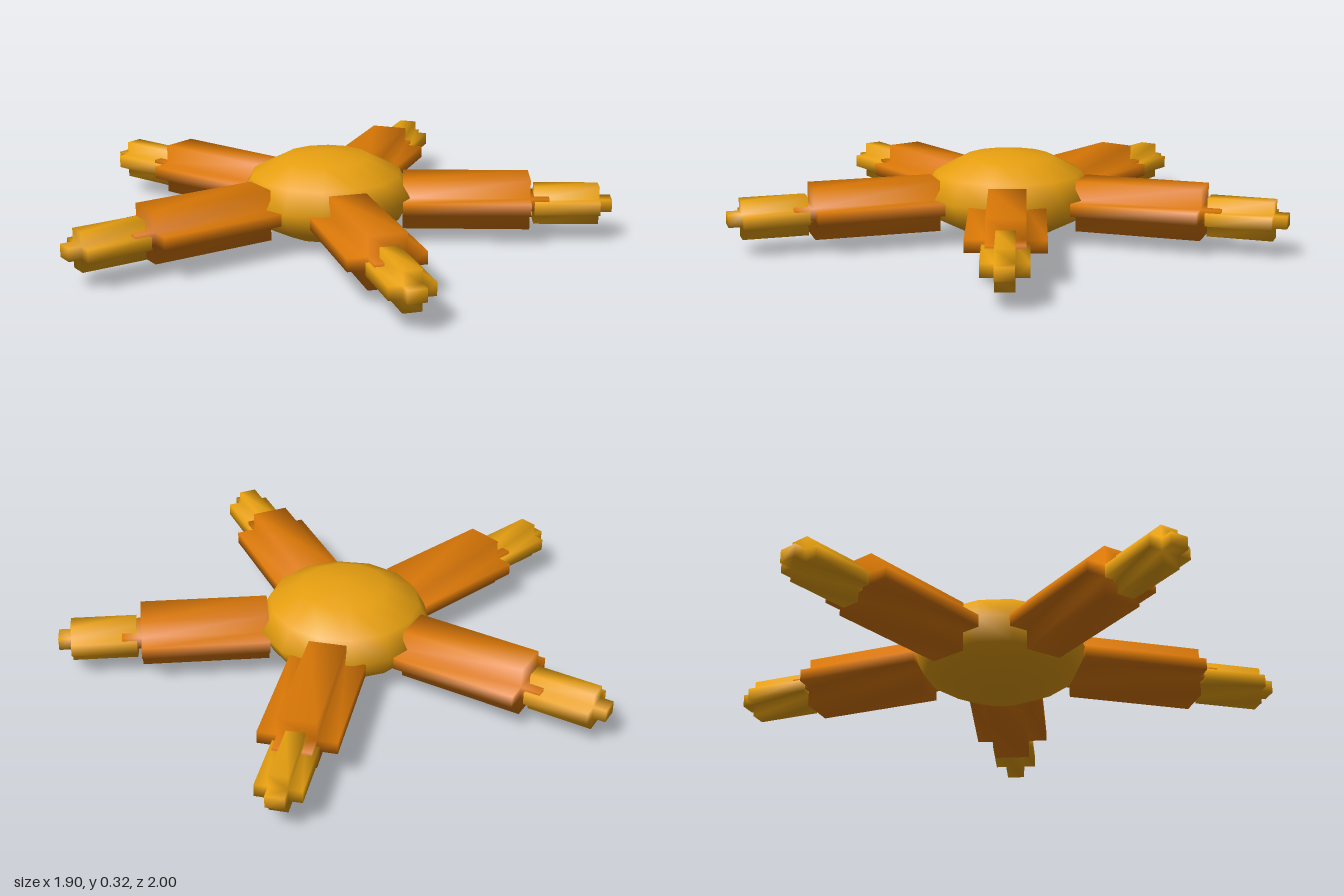
import * as THREE from 'three';
import { mergeVertices } from 'three/addons/utils/BufferGeometryUtils.js';

const yellow = new THREE.MeshStandardMaterial({ color: 0xe8a010 });
yellow.name = 'golden yellow';
const orange = new THREE.MeshStandardMaterial({ color: 0xd97706 });
orange.name = 'orange';

// Block whose edges are notched inward by `notch`, with soft normals.
function notchedBlock(length, height, width, notch) {
  const geometry = new THREE.BoxGeometry(3, 3, 3, 3, 3, 3);
  geometry.deleteAttribute('normal');
  geometry.deleteAttribute('uv');
  const core = [length / 2 - notch, height / 2 - notch, width / 2 - notch];
  const position = geometry.attributes.position;
  for (let i = 0; i < position.count; i++) {
    const p = [position.getX(i), position.getY(i), position.getZ(i)];
    const outer = p.map((v) => Math.abs(v) > 1);
    const onFace = outer.filter(Boolean).length === 1;
    // Only the middle of each face stands out; edges and corners sink to the core.
    const q = p.map((v, k) => Math.sign(v) * (core[k] + (onFace && outer[k] ? notch : 0)));
    position.setXYZ(i, ...q);
  }
  const merged = mergeVertices(geometry, 1e-4);
  merged.computeVertexNormals();
  return merged;
}

export function createModel() {
  const model = new THREE.Group();
  model.name = 'starfish';

  const star = new THREE.Group();
  star.name = 'star';
  star.position.x = -0.09;
  model.add(star);

  // Flattened central body
  const bodyGeometry = new THREE.SphereGeometry(0.315, 14, 6);
  bodyGeometry.rotateY(Math.PI / 2);
  const body = new THREE.Mesh(bodyGeometry, yellow);
  body.name = 'body';
  body.scale.y = 0.162 / 0.315;
  body.position.y = 0.162;
  star.add(body);

  // Five arms, each with a smaller tip
  const armGeometry = notchedBlock(0.6, 0.185, 0.275, 0.07);
  const tipGeometry = notchedBlock(0.33, 0.14, 0.16, 0.047);
  for (let i = 0; i < 5; i++) {
    const arm = new THREE.Group();
    arm.name = 'arm' + (i + 1);
    arm.rotation.y = (i * Math.PI * 2) / 5;

    const limb = new THREE.Mesh(armGeometry, orange);
    limb.name = 'limb';
    limb.position.set(0.51, 0.142, 0);

    const tip = new THREE.Mesh(tipGeometry, yellow);
    tip.name = 'tip';
    tip.position.set(0.875, 0.13, 0);

    arm.add(limb, tip);
    star.add(arm);
  }
  return model;
}
